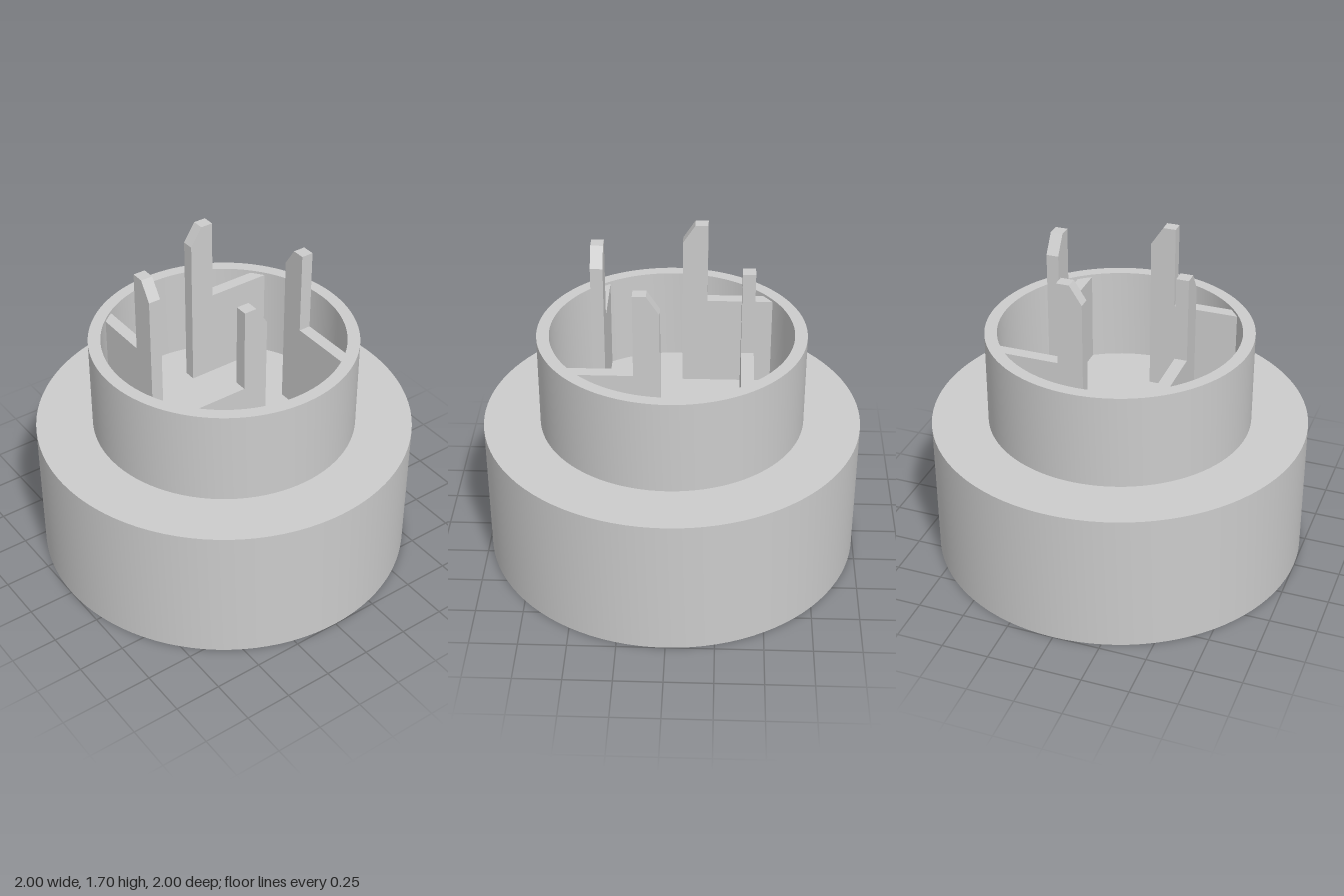
import * as THREE from 'three';
import { toCreasedNormals } from 'three/addons/utils/BufferGeometryUtils.js';

export function createModel() {
  const group = new THREE.Group();
  const material = new THREE.MeshStandardMaterial({ color: 0xcccccc });

  // Stepped round body: wide base, narrower hollow collar with a recessed floor
  const profile = [
    [0, 0], [1, 0], [1, 0.76], [0.7, 0.76], [0.7, 1.27],
    [0.635, 1.27], [0.635, 0.76], [0, 0.76],
  ].map(([r, y]) => new THREE.Vector2(r, y));
  const body = new THREE.Mesh(
    toCreasedNormals(new THREE.LatheGeometry(profile, 96), 0.6), material);
  body.name = 'body';
  group.add(body);

  // Fin: a low wall reaching the collar, with a tall chamfered prong at its inner end
  const finShape = new THREE.Shape([
    [0.045, 0.75], [0.54, 0.75], [0.54, 1.255], [0.178, 1.255],
    [0.178, 1.7], [0.11, 1.7], [0.045, 1.6],
  ].map(([s, y]) => new THREE.Vector2(s, y)));
  const finGeometry = new THREE.ExtrudeGeometry(finShape, { depth: 0.065, bevelEnabled: false });
  finGeometry.rotateY(-Math.PI / 2).translate(0.42, 0, 0);

  // Four fins in a pinwheel
  for (let i = 0; i < 4; i++) {
    const fin = new THREE.Mesh(finGeometry, material);
    fin.name = `prongFin${i + 1}`;
    fin.rotation.y = i * Math.PI / 2;
    group.add(fin);
  }
  return group;
}
